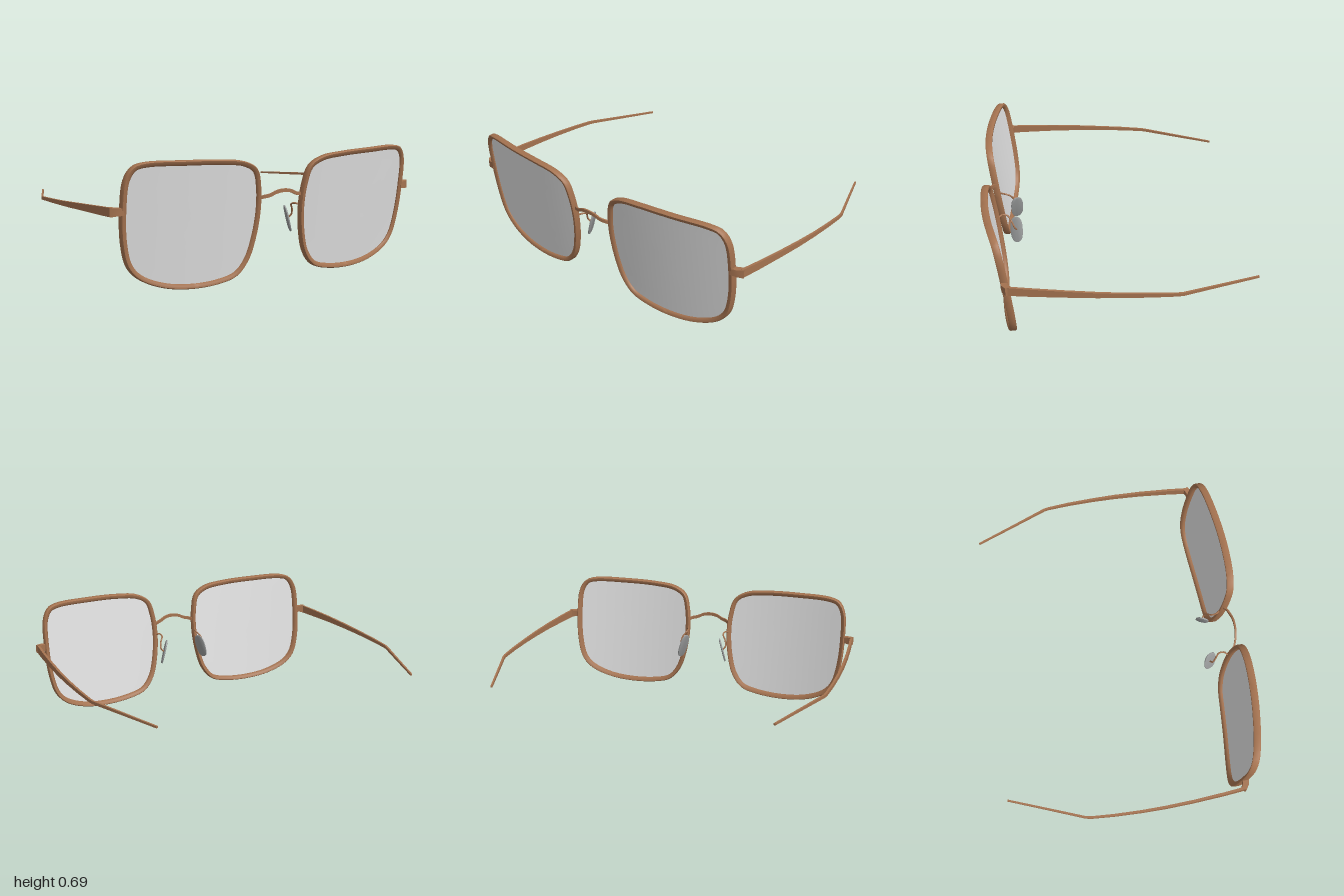
import * as THREE from 'three';
import { toCreasedNormals } from 'three/addons/utils/BufferGeometryUtils.js';

const V = (x, y, z) => new THREE.Vector3(x, y, z);

// Front surface of the wrapped, tilted eyewire
const surface = (x, y) => 0.692 - 0.22 * (x - 0.3) ** 2 + 0.13 * (y - 0.35);

// Skin a list of rings (each a closed loop of points)
function loft(rings, { loop = false, caps = false } = {}) {
  const n = rings[0].length, m = rings.length, index = [];
  for (let k = 0; k < (loop ? m : m - 1); k++) {
    for (let i = 0; i < n; i++) {
      const j = (i + 1) % n, q = (k + 1) % m;
      index.push(k * n + i, k * n + j, q * n + j, k * n + i, q * n + j, q * n + i);
    }
  }
  if (caps) {
    const e = (m - 1) * n;
    for (let i = 1; i < n - 1; i++) index.push(0, i + 1, i, e, e + i, e + i + 1);
  }
  const g = new THREE.BufferGeometry().setFromPoints(rings.flat());
  g.setIndex(index);
  return g;
}

// Flat bar along a path; each row is x, y, z, thickness, height
function bar(rows) {
  const rings = rows.map(([x, y, z, w, h], i) => {
    const a = rows[Math.max(i - 1, 0)], b = rows[Math.min(i + 1, rows.length - 1)];
    const o = V(-(b[2] - a[2]), 0, b[0] - a[0]).normalize();
    return [[1, 1], [1, -1], [-1, -1], [-1, 1]].map(([s, t]) =>
      V(x, y + t * h / 2, z).addScaledVector(o, s * w / 2));
  });
  return loft(rings, { caps: true });
}

export function createModel() {
  const group = new THREE.Group();
  const frame = new THREE.MeshStandardMaterial({ name: 'brown frame', color: 0xa57350 });
  const glass = new THREE.MeshStandardMaterial({ name: 'pale grey lens', color: 0xe2e2e2, side: THREE.DoubleSide });
  const padGrey = new THREE.MeshStandardMaterial({ name: 'pad grey', color: 0x9c9e9e });

  const add = (name, geometry, material, crease = 0.7) => {
    const mesh = new THREE.Mesh(toCreasedNormals(geometry, crease), material);
    mesh.name = name;
    group.add(mesh);
  };
  // Adds a part on the left and its mirror image on the right
  const addPair = (name, geometry, material, crease) => {
    const mirrored = geometry.clone().scale(-1, 1, 1);
    mirrored.setIndex(Array.from(mirrored.index.array).reverse());
    add('left' + name, geometry, material, crease);
    add('right' + name, mirrored, material, crease);
  };

  // Centre line of the eyewire
  const outline = [
    [0.144, 0.40], [0.154, 0.526], [0.181, 0.612], [0.252, 0.653], [0.382, 0.67],
    [0.595, 0.678], [0.798, 0.678], [0.854, 0.662], [0.888, 0.606], [0.899, 0.451],
    [0.888, 0.275], [0.856, 0.155], [0.80, 0.092], [0.675, 0.038], [0.515, 0.017],
    [0.355, 0.027], [0.257, 0.056], [0.196, 0.13], [0.16, 0.25],
  ].map(([x, y]) => V(x, y, 0));
  const curve = new THREE.CatmullRomCurve3(outline, true);
  const N = 112;
  const path = Array.from({ length: N }, (_, i) => curve.getPointAt(i / N));

  // Rims: section that thins towards the lens, swept around the outline
  const section = [[0.014, -0.013], [0.014, 0.013], [0.009, 0.02], [-0.004, 0.018],
    [-0.013, 0.009], [-0.013, -0.009], [-0.004, -0.018], [0.009, -0.02]];
  const rimRings = path.map((p, i) => {
    const t = curve.getTangentAt(i / N);
    return section.map(([o, d]) => {
      const x = p.x - t.y * o, y = p.y + t.x * o;
      return V(x, y, surface(x, y) - 0.02 + d);
    });
  });
  addPair('Rim', loft(rimRings, { loop: true }), frame, 0.9);

  // Lenses: rings growing from the middle out to the rim
  const lensRings = [0, 0.2, 0.4, 0.6, 0.8, 0.99].map(s => path.map(p => {
    const x = 0.52 + (p.x - 0.52) * s, y = 0.35 + (p.y - 0.35) * s;
    return V(x, y, surface(x, y) - 0.018);
  }));
  addPair('Lens', loft(lensRings), glass, 1);

  // Bridge: a thin, tall strip arching between the rims
  const arch = new THREE.CatmullRomCurve3([
    [-0.138, 0.457, 0.672], [-0.118, 0.466, 0.689], [-0.085, 0.473, 0.702], [-0.045, 0.49, 0.71],
    [0, 0.496, 0.713],
    [0.045, 0.49, 0.71], [0.085, 0.473, 0.702], [0.118, 0.466, 0.689], [0.138, 0.457, 0.672],
  ].map(p => V(...p)));
  add('bridge', bar(arch.getPoints(40).map(p => [p.x, p.y, p.z, 0.010, 0.019])), frame);

  // Nose pads: flat rounded plates
  const padRings = [[-0.005, 0.9], [-0.003, 1], [0.003, 1], [0.005, 0.9]].map(([x, s]) =>
    Array.from({ length: 32 }, (_, i) => {
      const a = i / 32 * Math.PI * 2, c = Math.cos(a), d = Math.sin(a);
      return V(x, 0.077 * s * Math.sign(c) * Math.abs(c) ** 0.8, 0.038 * s * Math.sign(d) * Math.abs(d) ** 0.8);
    }));
  const pad = loft(padRings, { caps: true });
  pad.rotateY(-0.4).rotateZ(0.27).translate(0.133, 0.307, 0.558);
  addPair('NosePad', pad, padGrey, 0.6);

  // Curled wires holding the pads
  const wire = new THREE.CatmullRomCurve3([
    [0.142, 0.40, 0.655], [0.125, 0.405, 0.635], [0.124, 0.395, 0.605],
    [0.145, 0.365, 0.583], [0.152, 0.33, 0.568], [0.137, 0.31, 0.558],
  ].map(p => V(...p)));
  addPair('PadWire', new THREE.TubeGeometry(wire, 32, 0.005, 8), frame, 1);

  // Hinge blocks
  addPair('Hinge', bar([
    [0.898, 0.445, 0.608, 0.034, 0.038], [0.933, 0.445, 0.602, 0.034, 0.040],
    [0.962, 0.444, 0.586, 0.028, 0.048],
  ]), frame);

  // Temples: tapering bars that bend inwards at the tips
  addPair('Temple', bar([
    [0.955, 0.443, 0.595, 0.014, 0.048], [0.968, 0.438, 0.48, 0.014, 0.044],
    [0.983, 0.430, 0.30, 0.014, 0.036], [0.991, 0.421, 0.14, 0.014, 0.030],
    [0.993, 0.413, 0, 0.013, 0.025], [0.990, 0.405, -0.15, 0.013, 0.021],
    [0.982, 0.397, -0.28, 0.012, 0.018], [0.976, 0.395, -0.31, 0.012, 0.017],
    [0.895, 0.383, -0.52, 0.011, 0.014], [0.813, 0.371, -0.735, 0.010, 0.011],
  ]), frame, 0.5);

  return group;
}
